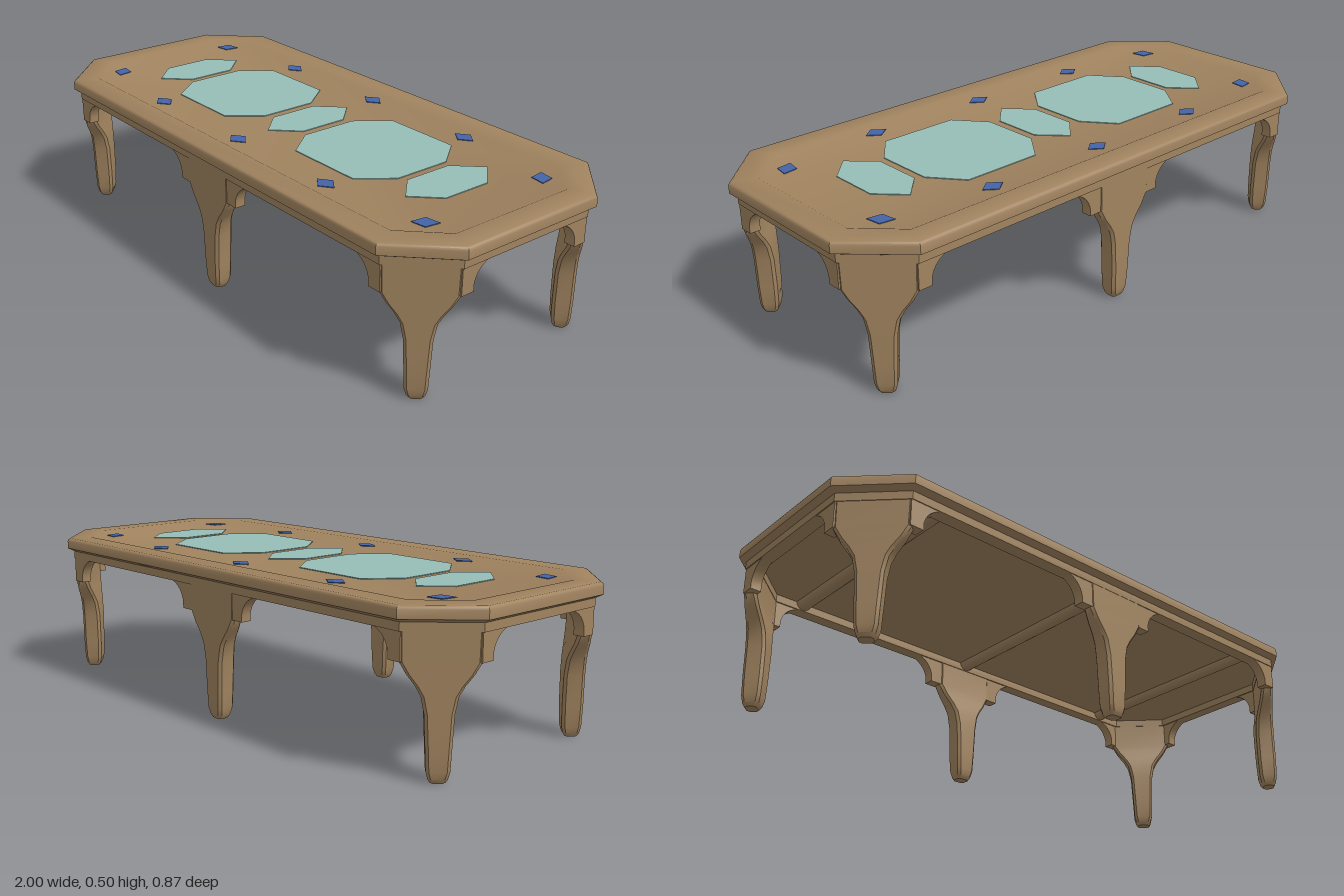
import * as THREE from 'three';
import { toCreasedNormals } from 'three/addons/utils/BufferGeometryUtils.js';

const wood = new THREE.MeshStandardMaterial({ color: 0xa0835f });
wood.name = 'brown wood';
const turquoise = new THREE.MeshStandardMaterial({ color: 0x96bcb6 });
turquoise.name = 'turquoise inlay';
const blue = new THREE.MeshStandardMaterial({ color: 0x4464a8 });
blue.name = 'blue inlay';

function add(parent, name, geometry, material) {
  const mesh = new THREE.Mesh(geometry, material);
  mesh.name = name;
  parent.add(mesh);
  return mesh;
}

// Skins rings of [x, y, z] points (counter-clockwise from above), with end caps
function loft(rings, crease = 0.6, caps = true) {
  const pos = [];
  const n = rings[0].length;
  const centre = (r) => [0, 1, 2].map((k) => r.reduce((s, p) => s + p[k], 0) / n);
  const first = rings[0], last = rings[rings.length - 1];
  for (let j = 0; j < n; j++) {
    const k = (j + 1) % n;
    for (let i = 0; i + 1 < rings.length; i++) {
      const a = rings[i], b = rings[i + 1];
      pos.push(...a[j], ...a[k], ...b[k], ...a[j], ...b[k], ...b[j]);
    }
    if (caps) {
      pos.push(...centre(first), ...first[k], ...first[j]);
      pos.push(...centre(last), ...last[j], ...last[k]);
    }
  }
  const g = new THREE.BufferGeometry();
  g.setAttribute('position', new THREE.Float32BufferAttribute(pos, 3));
  return toCreasedNormals(g, crease);
}

// Table outline with cut corners, moved inwards by t
function outline(t, y) {
  const hx = 1 - t, hz = 0.434 - t, sum = 1.262 - t * Math.SQRT2;
  const ex = sum - hz, ez = sum - hx;
  return [
    [hx, y, ez], [hx, y, -ez], [ex, y, -hz], [-ex, y, -hz],
    [-hx, y, -ez], [-hx, y, ez], [-ex, y, hz], [ex, y, hz],
  ];
}

// Leg: chamfered sections flaring upwards; the outer face lies at z = 0
function legGeometry() {
  const sections = [ // y, half width, front z, back z
    [0, 0.022, -0.012, -0.05], [0.012, 0.028, -0.006, -0.057],
    [0.035, 0.034, -0.002, -0.062], [0.1, 0.037, 0, -0.064],
    [0.2, 0.042, 0, -0.064], [0.25, 0.052, 0, -0.06],
    [0.28, 0.069, 0, -0.054], [0.31, 0.092, 0, -0.047],
    [0.345, 0.112, 0, -0.041], [0.44, 0.114, 0, -0.04],
  ];
  return loft(sections.map(([y, w, f, b]) => {
    const c = 0.009;
    return [
      [w, y, f - c], [w, y, b + c], [w - c, y, b], [c - w, y, b],
      [-w, y, b + c], [-w, y, f - c], [c - w, y, f], [w - c, y, f],
    ];
  }), 0.7);
}

// Curved bracket growing sideways from a leg, in direction s
function bracketGeometry(s) {
  const shape = new THREE.Shape();
  shape.moveTo(-0.006 * s, 0.345);
  shape.lineTo(0.04 * s, 0.345);
  shape.lineTo(0.04 * s, 0.368);
  shape.quadraticCurveTo(0.05 * s, 0.418, 0.107 * s, 0.434);
  shape.lineTo(-0.006 * s, 0.434);
  const g = new THREE.ExtrudeGeometry(shape, { depth: 0.036, bevelEnabled: false, curveSegments: 8 });
  return toCreasedNormals(g, 0.5);
}

// Thin flat plate from [x, z] points
function plate(points) {
  const shape = new THREE.Shape(points.map(([x, z]) => new THREE.Vector2(x, -z)));
  const g = new THREE.ExtrudeGeometry(shape, { depth: 0.004, bevelEnabled: false });
  return g.rotateX(-Math.PI / 2);
}

export function createModel() {
  const model = new THREE.Group();
  model.name = 'table';

  // Tabletop with bevelled edge and a shallow sunken field
  const topProfile = [
    [0.022, 0.456], [0.016, 0.459], [0, 0.468], [0, 0.494], [0.003, 0.501],
    [0.009, 0.505], [0.08, 0.505], [0.095, 0.498],
  ];
  add(model, 'tabletop', loft(topProfile.map(([t, y]) => outline(t, y))), wood);

  // Apron frame under the top, open in the middle
  const apronProfile = [[0.065, 0.457], [0.065, 0.43], [0.021, 0.43], [0.021, 0.458]];
  add(model, 'apron', loft(apronProfile.map(([t, y]) => outline(t, y)), 0.5, false), wood);

  // Rounded cross beams
  for (const x of [-0.7, 0, 0.7]) {
    const g = new THREE.CylinderGeometry(0.026, 0.026, 0.76, 16).rotateX(Math.PI / 2);
    add(model, 'crossBeam', g, wood).position.set(x, 0.458, 0);
  }

  // Two middle legs and four diagonal corner legs
  const leg = legGeometry();
  for (const sz of [-1, 1]) {
    for (const sx of [-1, 0, 1]) {
      const mesh = add(model, sx ? 'cornerLeg' : 'middleLeg', leg, wood);
      mesh.position.set(sx * 0.8975, 0, sz * (sx ? 0.3315 : 0.412));
      mesh.rotation.y = Math.atan2(sx, sz);
    }
  }

  // Brackets along each side: [position along the side, direction]
  const longSide = [[-0.815, 1], [-0.112, -1], [0.112, 1], [0.815, -1]];
  const shortSide = [[-0.248, 1], [0.248, -1]];
  for (let i = 0; i < 4; i++) {
    const side = new THREE.Group();
    side.name = 'brackets';
    side.rotation.y = i * Math.PI / 2;
    for (const [u, s] of i % 2 ? shortSide : longSide) {
      const mesh = add(side, 'bracket', bracketGeometry(s), wood);
      mesh.position.set(u, 0, (i % 2 ? 0.976 : 0.41) - 0.036);
    }
    model.add(side);
  }

  // Turquoise panels: two octagons and three pointed hexagons
  const surface = 0.4965;
  const octagon = plate([
    [0.22, 0.1], [0.22, -0.1], [0.137, -0.207], [-0.137, -0.207],
    [-0.22, -0.1], [-0.22, 0.1], [-0.137, 0.205], [0.137, 0.205],
  ]);
  const hexagon = plate([
    [0.081, 0.085], [0.081, -0.085], [0, -0.17], [-0.081, -0.085], [-0.081, 0.085], [0, 0.168],
  ]);
  for (const x of [-0.33, 0.33]) add(model, 'octagonInlay', octagon, turquoise).position.set(x, surface, 0);
  for (const x of [-0.656, 0, 0.656]) add(model, 'hexagonInlay', hexagon, turquoise).position.set(x, surface, 0);

  // Blue diamonds around the border, turned to follow the cut corners
  const diamond = plate([[0.04, 0], [0, -0.03], [-0.04, 0], [0, 0.03]]);
  for (const sz of [-1, 1]) {
    for (const x of [-0.812, -0.443, 0, 0.443, 0.812]) {
      const corner = Math.abs(x) > 0.5;
      const mesh = add(model, 'diamondInlay', diamond, blue);
      mesh.position.set(x, surface, sz * (corner ? 0.238 : 0.288));
      if (corner) mesh.rotation.y = Math.sign(x) * sz * Math.PI / 4;
    }
  }
  return model;
}
